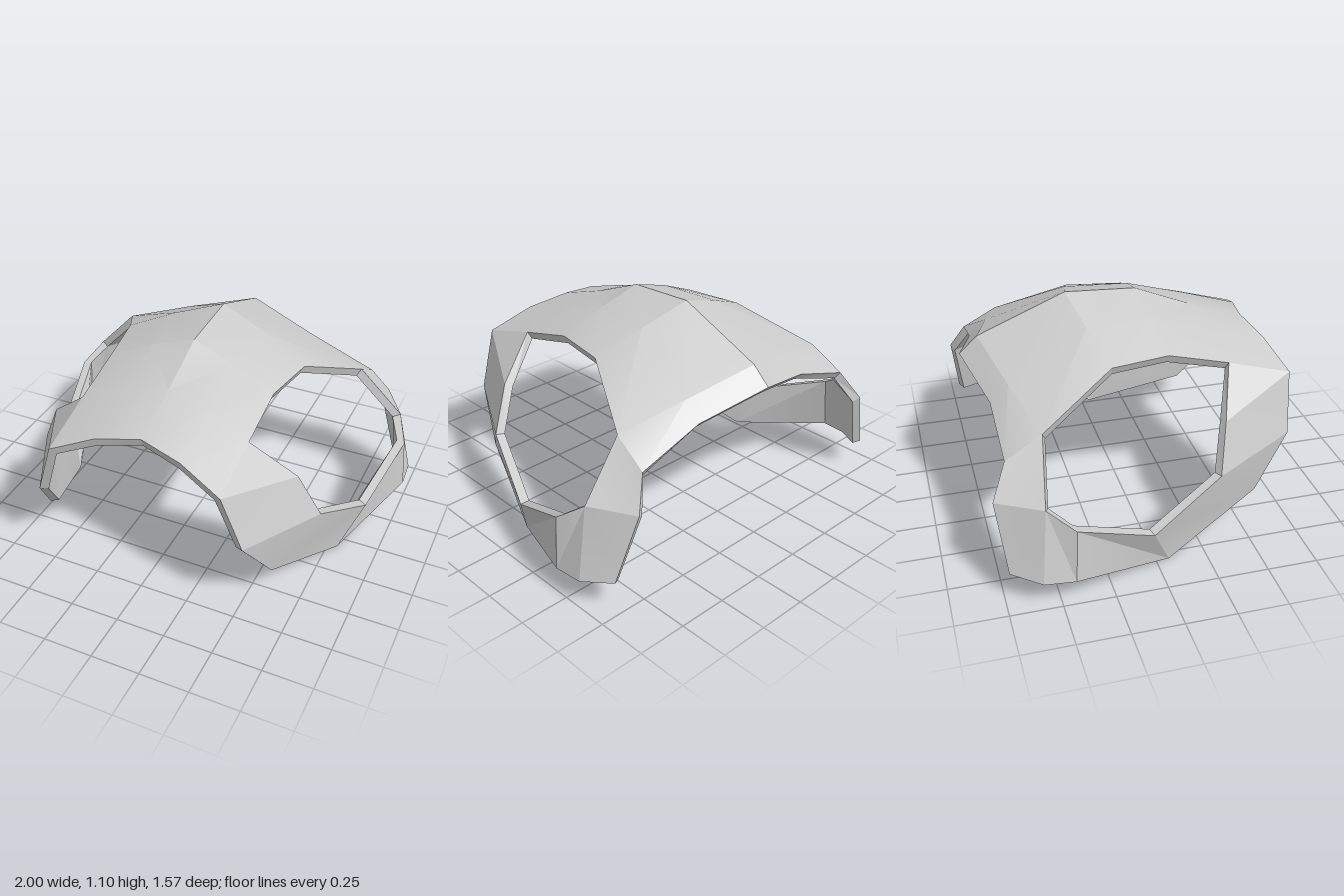
import * as THREE from 'three';
import { toCreasedNormals } from 'three/addons/utils/BufferGeometryUtils.js';

const THICKNESS = 0.045;

// Crown, front to back: each row runs from the centre line out to the side edge
const crown = [
  [[0, 0.865, 0.685], [0.22, 0.83, 0.73], [0.44, 0.74, 0.785]],
  [[0, 0.96, 0.4], [0.22, 0.925, 0.43], [0.44, 0.835, 0.46]],
  [[0, 1.08, 0.11], [0.22, 1.01, 0.13], [0.44, 0.915, 0.155]],
  [[0, 1.1, -0.25], [0.25, 1.015, -0.2], [0.49, 0.915, -0.137]],
  [[0, 0.915, -0.695], [0.36, 0.825, -0.605], [0.685, 0.735, -0.51]],
  [[0, 0.83, -0.787], [0.36, 0.74, -0.695], [0.7, 0.63, -0.69]],
];
// Cheek: rim of the side opening and the lower outline, front to back
const holeRim = [[0.66, 0.645, 0.375], [0.77, 0.415, 0.325], [0.9, 0.235, -0.04],
  [0.98, 0.395, -0.425], [0.915, 0.485, -0.55]];
const outline = [[0.54, 0.45, 0.757], [0.62, 0.195, 0.567], [0.8, 0, 0.065], [1, 0.13, -0.435],
  [0.99, 0.135, -0.585], [0.9, 0.155, -0.725], [0.79, 0.48, -0.765]];

// Outer skin of both halves as shared points and triangles
function outerSkin() {
  const points = [], tris = [], mirrorOf = [];
  const add = (p) => points.push(p) - 1;
  const grid = crown.map((row) => row.map(add));
  const rim = holeRim.map(add);
  const low = outline.map(add);
  const quad = (a, b, c, d) => {
    for (const t of [[a, b, c], [a, c, d]]) if (new Set(t).size === 3) tris.push(t);
  };
  for (let r = 0; r < 5; r++) {
    for (let c = 0; c < 2; c++) quad(grid[r][c], grid[r][c + 1], grid[r + 1][c + 1], grid[r + 1][c]);
  }
  const inside = [grid[1][2], ...rim, rim[4], rim[4], grid[4][2]];
  const outside = [grid[0][2], ...low, grid[5][2]];
  for (let i = 0; i < 8; i++) quad(outside[i], outside[i + 1], inside[i + 1], inside[i]);

  // Mirror across x, sharing the centre line
  const half = points.slice();
  half.forEach(([x, y, z], i) => { mirrorOf[i] = x === 0 ? i : add([-x, y, z]); });
  for (const [a, b, c] of tris.slice()) tris.push([mirrorOf[a], mirrorOf[c], mirrorOf[b]]);
  return { points, tris };
}

// Give the skin thickness: inner copy plus walls along every open edge
function thicken({ points, tris }) {
  const skin = new THREE.BufferGeometry();
  skin.setAttribute('position', new THREE.Float32BufferAttribute(points.flat(), 3));
  skin.setIndex(tris.flat());
  skin.computeVertexNormals();
  const normal = skin.attributes.normal;
  const n = points.length;
  const inner = points.map(([x, y, z], i) => [
    x - normal.getX(i) * THICKNESS, y - normal.getY(i) * THICKNESS, z - normal.getZ(i) * THICKNESS]);

  const index = tris.flat();
  const edges = new Set();
  for (const [a, b, c] of tris) {
    index.push(a + n, c + n, b + n);
    for (const [s, e] of [[a, b], [b, c], [c, a]]) edges.add(`${s},${e}`);
  }
  for (const key of edges) {
    const [s, e] = key.split(',').map(Number);
    if (!edges.has(`${e},${s}`)) index.push(e, s, s + n, e, s + n, e + n);
  }
  const solid = new THREE.BufferGeometry();
  solid.setAttribute('position', new THREE.Float32BufferAttribute([...points, ...inner].flat(), 3));
  solid.setIndex(index);
  return toCreasedNormals(solid, 0.3);
}

export function createModel() {
  const group = new THREE.Group();
  group.name = 'maskFrame';
  const shell = new THREE.Mesh(thicken(outerSkin()), new THREE.MeshStandardMaterial({ color: 0xcccccc }));
  shell.name = 'shell';
  group.add(shell);
  return group;
}
